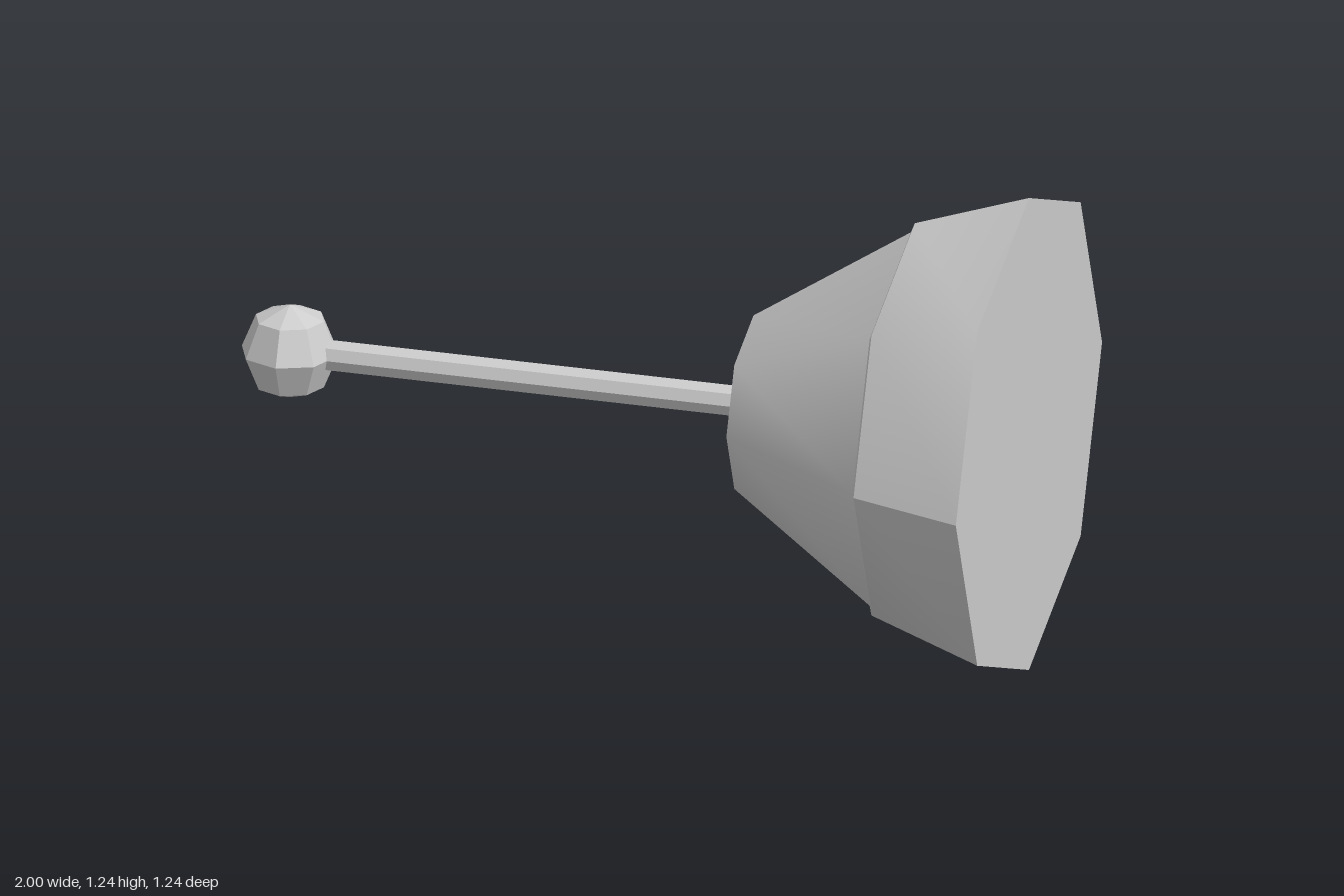
import * as THREE from 'three';

const AXIS_Y = 0.62;
const smooth = new THREE.MeshStandardMaterial({ color: 0xcccccc });
const flat = new THREE.MeshStandardMaterial({ color: 0xcccccc, flatShading: true });

function add(group, name, geometry, material, x) {
  const mesh = new THREE.Mesh(geometry, material);
  mesh.name = name;
  mesh.position.set(x, AXIS_Y, 0);
  group.add(mesh);
  return mesh;
}

// Eight-sided frustum lying along x, from x0 (radius r0) to x1 (radius r1).
function frustum(x0, r0, x1, r1, open, start = 0, length = Math.PI * 2) {
  const sides = Math.round(length / (Math.PI / 4));
  return new THREE.CylinderGeometry(r1, r0, x1 - x0, sides, 1, open, start, length).rotateZ(-Math.PI / 2);
}

export function createModel() {
  const model = new THREE.Group();

  // Head: cone, narrow shoulder step and flared rim
  const head = new THREE.Group();
  head.name = 'head';
  model.add(head);
  add(head, 'headCone', frustum(0.3, 0.23, 0.7, 0.495, true), smooth, 0.5);
  add(head, 'shoulder', frustum(0.7, 0.495, 0.71, 0.52, true), smooth, 0.705);

  // The rim is two smooth halves meeting in a crease at front and back
  for (const [name, start] of [['upperRim', Math.PI], ['lowerRim', 0]]) {
    const half = frustum(0.71, 0.52, 1, 0.62, true, start, Math.PI);
    half.computeVertexNormals();
    add(head, name, half, smooth, 0.855);
  }

  // Flat end faces of the head
  const face = (r, dir) => new THREE.CircleGeometry(r, 8).rotateY(dir * Math.PI / 2);
  add(head, 'strikingFace', face(0.62, 1), flat, 1);
  add(head, 'neckFace', face(0.23, -1), flat, 0.3);

  // Handle rod and end knob
  add(model, 'rod', frustum(-0.78, 0.04, 0.32, 0.04, false), flat, -0.23);
  add(model, 'knob', new THREE.SphereGeometry(0.122, 8, 4), flat, -0.878);

  return model;
}
